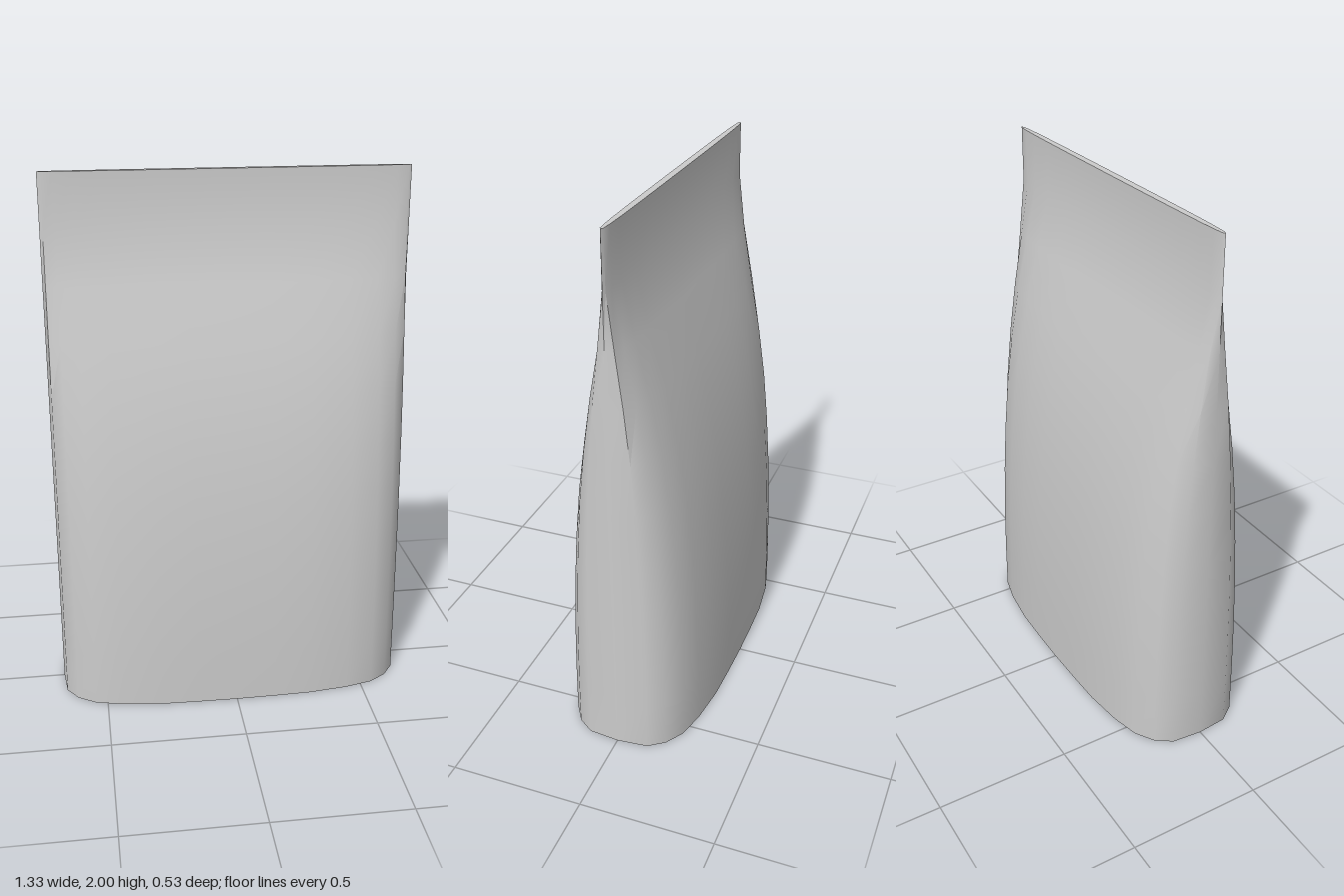
import * as THREE from 'three';
import { toCreasedNormals } from 'three/addons/utils/BufferGeometryUtils.js';

// One quarter of the base outline, from front centre to the left end: [x, z]
const QUARTER = [[0, 0.267], [0.15, 0.265], [0.29, 0.261], [0.44, 0.243], [0.545, 0.217],
  [0.612, 0.174], [0.654, 0.115], [0.665, 0]];

// Half depth at each height: [y, depth]
const PROFILE = [[0, 0.267], [0.2, 0.265], [0.4, 0.259], [0.6, 0.248], [0.8, 0.231], [1.0, 0.207],
  [1.2, 0.172], [1.4, 0.126], [1.6, 0.068], [1.8, 0.014], [2, 0.013]];

// Full outline: mirror the quarter to a half, then turn the half by 180 degrees
function makeOutline() {
  const back = QUARTER.slice(0, -1).reverse().map(([x, z]) => [x, -z]);
  const half = [...QUARTER, ...back].slice(0, -1);
  return [...half, ...half.map(([x, z]) => [-x, -z])];
}

// Wall: the outline flattened towards the thin top edge
function makeWall(outline) {
  const n = outline.length;
  const positions = [];
  const indices = [];
  PROFILE.forEach(([y, depth], j) => {
    for (const [x, z] of outline) positions.push(x, y, z * depth / PROFILE[0][1]);
    if (j === 0) return;
    for (let i = 0; i < n; i++) {
      const a = (j - 1) * n + i;
      const b = (j - 1) * n + (i + 1) % n;
      indices.push(a, b, b + n, a, b + n, a + n);
    }
  });
  const geometry = new THREE.BufferGeometry();
  geometry.setAttribute('position', new THREE.Float32BufferAttribute(positions, 3));
  geometry.setIndex(indices);
  return toCreasedNormals(geometry, 0.75);
}

export function createModel() {
  const group = new THREE.Group();
  group.name = 'taperedWedge';
  const material = new THREE.MeshStandardMaterial({ color: 0xcccccc });
  const outline = makeOutline();

  const wall = new THREE.Mesh(makeWall(outline), material);
  wall.name = 'wall';
  group.add(wall);

  // Flat caps closing the rounded base and the thin top edge
  const addCap = (name, [y, depth], turn) => {
    const points = outline.map(([x, z]) => new THREE.Vector2(x, z * depth / PROFILE[0][1]));
    const geometry = new THREE.ShapeGeometry(new THREE.Shape(points)).rotateX(turn);
    const cap = new THREE.Mesh(geometry, material);
    cap.name = name;
    cap.position.y = y;
    group.add(cap);
  };
  addCap('baseCap', PROFILE[0], Math.PI / 2);
  addCap('topEdge', PROFILE[PROFILE.length - 1], -Math.PI / 2);

  return group;
}
